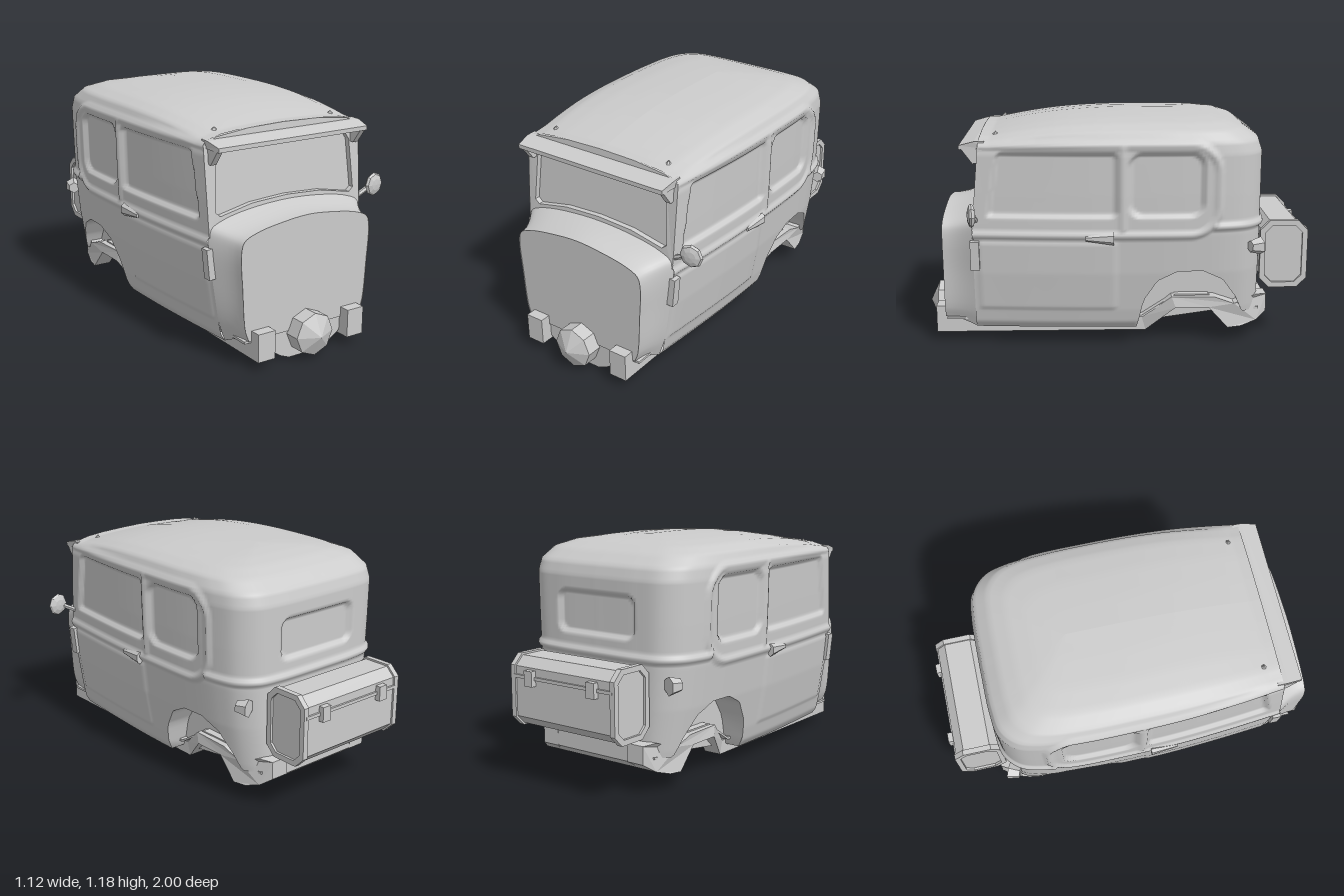
import * as THREE from 'three';

const V3 = (x, y, z) => new THREE.Vector3(x, y, z);
const clamp = THREE.MathUtils.clamp;
const grey = new THREE.MeshStandardMaterial({ color: 0xcccccc, side: THREE.DoubleSide });
const facet = new THREE.MeshStandardMaterial({ color: 0xcccccc, side: THREE.DoubleSide, flatShading: true });

// Linear lookup in a table of rows whose first column ascends
function lookup(table, t, col = 1) {
  for (let i = 1; i < table.length; i++) {
    const a = table[i - 1], b = table[i];
    if (t <= b[0]) return a[col] + (b[col] - a[col]) * clamp((t - a[0]) / (b[0] - a[0]), 0, 1);
  }
  return table[table.length - 1][col];
}

// Surface from a grid of points
function grid(nu, nv, fn) {
  const pos = [], idx = [], w = nv + 1;
  for (let i = 0; i <= nu; i++) for (let j = 0; j <= nv; j++) pos.push(...fn(i, j));
  for (let i = 0; i < nu; i++) for (let j = 0; j < nv; j++) {
    const a = i * w + j, b = a + w;
    idx.push(a, b, b + 1, a, b + 1, a + 1);
  }
  const g = new THREE.BufferGeometry();
  g.setAttribute('position', new THREE.Float32BufferAttribute(pos, 3));
  g.setIndex(idx);
  g.computeVertexNormals();
  return g;
}

const shapeOf = pts => new THREE.Shape(pts.map(p => new THREE.Vector2(p[0], p[1])));
const mirrored = pts => [...pts, ...pts.slice().reverse().filter(p => p[0] !== 0).map(p => [-p[0], p[1]])];

// Side profile in (z, y), extruded across from x0 to x1
function across(pts, x0, x1, hole) {
  const s = shapeOf(pts);
  if (hole) s.holes.push(shapeOf(hole));
  return new THREE.ExtrudeGeometry(s, { depth: x1 - x0, bevelEnabled: false }).rotateY(-Math.PI / 2).translate(x1, 0, 0);
}

// Signed distance to a rounded box
function roundBox(a, b, a0, a1, b0, b1, r) {
  const qa = Math.abs(a - (a0 + a1) / 2) - (a1 - a0) / 2 + r;
  const qb = Math.abs(b - (b0 + b1) / 2) - (b1 - b0) / 2 + r;
  return Math.hypot(Math.max(qa, 0), Math.max(qb, 0)) + Math.min(Math.max(qa, qb), 0) - r;
}
const inside = d => clamp(-d / 0.014, 0, 1);
const ridge = d => Math.max(0, 1 - (d / 0.022) ** 2);

// Half width by height, rear wheel arch, roof rings (y, scale, rear z), rail inset by z
const widthAt = [[0.095, 0.395], [0.13, 0.42], [0.2, 0.437], [0.4, 0.472], [0.6, 0.493], [0.8, 0.5], [1.05, 0.505]];
const arch = [[-0.64, 0.17], [-0.6, 0.26], [-0.53, 0.36], [-0.43, 0.41], [-0.3, 0.41], [-0.2, 0.36], [-0.13, 0.25], [-0.1, 0.095]];
const roofRings = [[0, 1.0, 1, -0.74], [1, 1.06, 0.985, -0.72], [2, 1.115, 0.93, -0.645], [3, 1.145, 0.78, -0.56],
  [4, 1.162, 0.55, -0.47], [5, 1.172, 0.27, -0.38], [6, 1.177, 0, -0.3]];
const railInset = [[-0.775, 0.065], [-0.72, 0.03], [-0.6, 0], [-0.3, 0], [-0.15, 0.068], [0.93, 0.07]];
const leanAt = y => 0.1 * Math.max(0, y - 0.65);

// Pressed details of the skin: windows, door panel, belt, pillar and drip moulding
function relief(x, y, z) {
  let d = 0;
  if (z < -0.6) d -= 0.022 * inside(roundBox(x, y, -0.24, 0.24, 0.72, 0.93, 0.05));
  const zs = z + 0.1 * (y - 0.69) * clamp(z / 0.6, 0, 1);
  d -= 0.022 * inside(roundBox(zs, y, 0.0, 0.655, 0.69, 1.015, 0.03));
  d -= 0.022 * inside(roundBox(z, y, -0.43, -0.05, 0.69, 1.015, 0.07));
  d += 0.007 * inside(roundBox(z, y, 0, 0.7, 0.2, 0.57, 0.02));
  d += 0.013 * ridge(roundBox(z, y, -0.5, 1.5, 0.6, 1.05, 0.14));
  if (y > 0.62 && y < 1.03) d += 0.009 * ridge(z + 0.025);
  if (z < -0.48) d += 0.016 * ridge(y - 0.64);
  return d;
}

// Cab skin: plan outline swept up the walls and drawn in over the roof
function cabSkin() {
  const plan = [[0.9, 0.72], [0.955, 0.42], [0.99, 0.15], [1, -0.1], [0.995, -0.35], [0.96, -0.55],
    [0.89, -0.65], [0.74, -0.715], [0.5, -0.735], [0, -0.74]];
  const curve = new THREE.CatmullRomCurve3(plan.map(p => V3(p[0] * 0.5, 0, p[1])));
  const N = 140, walls = 85, roof = 24;
  return grid(2 * N, walls + roof + 2, (i, j) => {
    const side = i > N ? -1 : 1, t = (i > N ? 2 * N - i : i) / N;
    const p = curve.getPointAt(t), tan = curve.getTangentAt(t);
    const k = j - 2, q = Math.max(0, k - walls) / roof * 6;
    let z = p.z, y, f = 1;
    if (q > 0) {
      y = lookup(roofRings, q, 1);
      f = lookup(roofRings, q, 2);
      z = 0.72 + (z - 0.72) * (0.72 - lookup(roofRings, q, 3)) / 1.46;
    } else y = Math.max(lookup(arch, z), 0.095 + 0.905 * Math.max(0, k) / walls);
    if (j === 0) f = 0.65;
    let x = p.x * 2 * f * lookup(widthAt, y);
    if (q > 0) y -= 0.075 * (y - 1) / 0.177 * clamp((z + 0.1) / 0.76, 0, 1) ** 2.2;
    const d = j > 1 ? relief(x, y, z) : 0;
    x += -tan.z * d;
    z += tan.x * d - leanAt(y) * clamp((z - 0.3) / 0.42, 0, 1);
    return [x * side, y, z];
  });
}

export function createModel() {
  const root = new THREE.Group(), body = new THREE.Group();
  body.name = 'carBody';
  body.position.x = -0.045;
  root.add(body);
  const add = (name, geo, mat = facet, x = 0, y = 0, z = 0) => {
    const m = new THREE.Mesh(geo, mat);
    m.name = name;
    m.position.set(x, y, z);
    body.add(m);
    return m;
  };
  add('cabShell', cabSkin(), grey);

  // Cowl lofted between windscreen base and bulkhead
  const back = [[0.355, 0.095], [0.39, 0.2], [0.423, 0.4], [0.446, 0.6], [0.435, 0.66], [0.36, 0.695], [0.2, 0.723], [0, 0.735]];
  const front = [[0.33, 0.14], [0.352, 0.2], [0.368, 0.4], [0.376, 0.58], [0.36, 0.63], [0.29, 0.662], [0.13, 0.69], [0, 0.7]];
  const outline = pts => new THREE.CatmullRomCurve3(mirrored(pts).map(p => V3(p[0], p[1], 0)), false, 'centripetal').getPoints(60);
  const rear = outline(back), nose = outline(front);
  add('cowl', grid(60, 6, (i, j) => {
    const p = rear[i].clone().lerp(nose[i], Math.sin(j / 6 * Math.PI / 2));
    return [p.x, p.y, 0.715 + 0.165 * j / 6];
  }), grey);
  add('bulkhead', new THREE.ShapeGeometry(shapeOf(nose.map(p => [p.x, p.y]))), grey, 0, 0, 0.875);

  // Windscreen frame and glass, leaning back
  const lean = g => {
    const p = g.attributes.position;
    for (let i = 0; i < p.count; i++) p.setZ(i, p.getZ(i) - leanAt(p.getY(i)));
    g.computeVertexNormals();
    return g;
  };
  const pane = mirrored([[0, 0.755], [0.2, 0.745], [0.38, 0.71], [0.405, 0.73], [0.39, 0.97], [0.37, 1.0], [0, 1.0]]);
  const frame = shapeOf(mirrored([[0, 0.62], [0.445, 0.62], [0.452, 1.045], [0.38, 1.075], [0.2, 1.095], [0, 1.1]]));
  frame.holes.push(shapeOf(pane));
  add('windscreenFrame', lean(new THREE.ExtrudeGeometry(frame, { depth: 0.04, bevelEnabled: false })), facet, 0, 0, 0.682);
  add('windscreenGlass', lean(new THREE.ShapeGeometry(shapeOf(pane))), facet, 0, 0, 0.695);

  // Sun visor tucked under the roof edge, tapering forward, with end brackets
  const visor = across([[0.65, 1.068], [0.7, 1.066], [0.775, 1.046], [0.775, 1.025], [0.65, 1.03]], -0.44, 0.44);
  const vp = visor.attributes.position;
  for (let i = 0; i < vp.count; i++) vp.setX(i, vp.getX(i) * (1 - 0.3 * Math.max(0, vp.getZ(i) - 0.7)));
  visor.computeVertexNormals();
  add('sunVisor', visor);
  for (const s of [-1, 1]) {
    add('visorBracket', across([[0.765, 1.03], [0.71, 0.955], [0.67, 0.96], [0.66, 1.05]], -0.015, 0.015), facet, s * 0.415);
    add('roofStud', new THREE.ConeGeometry(0.025, 0.03, 6), facet, s * 0.34, 1.09, 0.6);

    // Door furniture and rear lamps
    const handle = add('doorHandle', new THREE.CylinderGeometry(0.012, 0.034, 0.14, 6), facet, s * 0.502, 0.59, 0.09);
    handle.rotation.x = Math.PI / 2;
    handle.scale.x = 0.6;
    const hinge = add('doorHinge', new THREE.BoxGeometry(0.04, 0.15, 0.045), facet, s * 0.438, 0.495, 0.71);
    hinge.rotation.z = -s * 0.1;
    const lamp = add('rearLamp', new THREE.CylinderGeometry(0.03, 0.046, 0.06, 6), facet, s * 0.438, 0.53, -0.692);
    lamp.rotation.set(Math.PI / 2, 0, -s * 0.4);

    // Wheel well wall and chassis rail, inset ahead of the arch and at the tail
    add('wheelWell', across(arch, -0.02, 0.02), facet, s * 0.29);
    const rail = across([[0.93, 0.05], [0.5, 0.05], [-0.15, 0.05], [-0.3, 0.19], [-0.47, 0.19], [-0.57, 0.08],
      [-0.64, 0.085], [-0.72, 0.11], [-0.775, 0.15], [-0.775, 0.24], [-0.72, 0.25], [-0.6, 0.21], [-0.5, 0.245],
      [-0.28, 0.245], [-0.13, 0.12], [0.5, 0.12], [0.72, 0.19], [0.93, 0.19]], -0.048, 0.048);
    const rp = rail.attributes.position;
    for (let i = 0; i < rp.count; i++) rp.setX(i, s * (0.335 - lookup(railInset, rp.getZ(i))) + rp.getX(i));
    rail.computeVertexNormals();
    add('chassisRail', rail);
  }

  // Floor, rear valance and front cross member
  const floorLine = [[0.87, 0.13], [-0.13, 0.13], [-0.3, 0.24], [-0.47, 0.24], [-0.57, 0.15], [-0.73, 0.17]];
  add('floor', across([...floorLine, ...floorLine.slice().reverse().map(p => [p[0], p[1] + 0.012])], -0.35, 0.35));
  add('rearValance', across([[-0.62, 0.13], [-0.72, 0.11], [-0.77, 0.15], [-0.77, 0.23], [-0.7, 0.24], [-0.62, 0.2]], -0.29, 0.29));
  add('crossMember', new THREE.ExtrudeGeometry(shapeOf(mirrored([[0.09, 0], [0.14, 0.02], [0.215, 0.07], [0.215, 0.15]])),
    { depth: 0.06, bevelEnabled: false }), facet, 0, 0, 0.81);

  // Gearbox with pointed nose and trailing shaft
  const gearbox = new THREE.LatheGeometry([[0, 0.45], [0.05, 0.6], [0.06, 0.73], [0.106, 0.76], [0.106, 0.95], [0, 1.0]]
    .map(p => new THREE.Vector2(p[0], p[1])), 8).rotateX(Math.PI / 2);
  add('gearbox', gearbox, facet, 0, 0.126, 0);
  add('driveShaft', new THREE.CylinderGeometry(0.016, 0.016, 0.6, 8).rotateX(Math.PI / 2), grey, 0, 0.1, 0.38);
  add('shaftJoint', new THREE.SphereGeometry(0.025, 8, 6), grey, 0, 0.1, 0.08);

  // Luggage trunk: chamfered box, end rims, lid seam and straps
  const octagon = (h, v, c) => [[h, v - c], [h - c, v], [c - h, v], [-h, v - c], [-h, c - v], [c - h, -v], [h - c, -v], [h, c - v]]
    .map(p => [p[0] - 0.858, p[1] + 0.455]);
  add('trunk', across(octagon(0.113, 0.168, 0.045), -0.313, 0.313));
  for (const s of [-1, 1]) {
    add('trunkRim', across(octagon(0.122, 0.177, 0.05), -0.014, 0.014, octagon(0.095, 0.15, 0.037)), facet, s * 0.311);
    add('trunkStrap', new THREE.BoxGeometry(0.05, 0.075, 0.035), facet, s * 0.195, 0.53, -0.981);
  }
  add('trunkSeam', new THREE.BoxGeometry(0.62, 0.016, 0.02), facet, 0, 0.53, -0.971);

  // Wing mirror on its arm, on one side only
  const arm = new THREE.LineCurve3(V3(0.425, 0.665, 0.7), V3(0.52, 0.715, 0.71));
  add('mirrorArm', new THREE.TubeGeometry(arm, 1, 0.013, 6), facet);
  const mirror = add('mirrorHead', new THREE.SphereGeometry(0.06, 8, 6).rotateX(Math.PI / 2), facet, 0.545, 0.722, 0.712);
  mirror.scale.z = 0.35;
  mirror.rotation.y = 0.15;
  return root;
}
